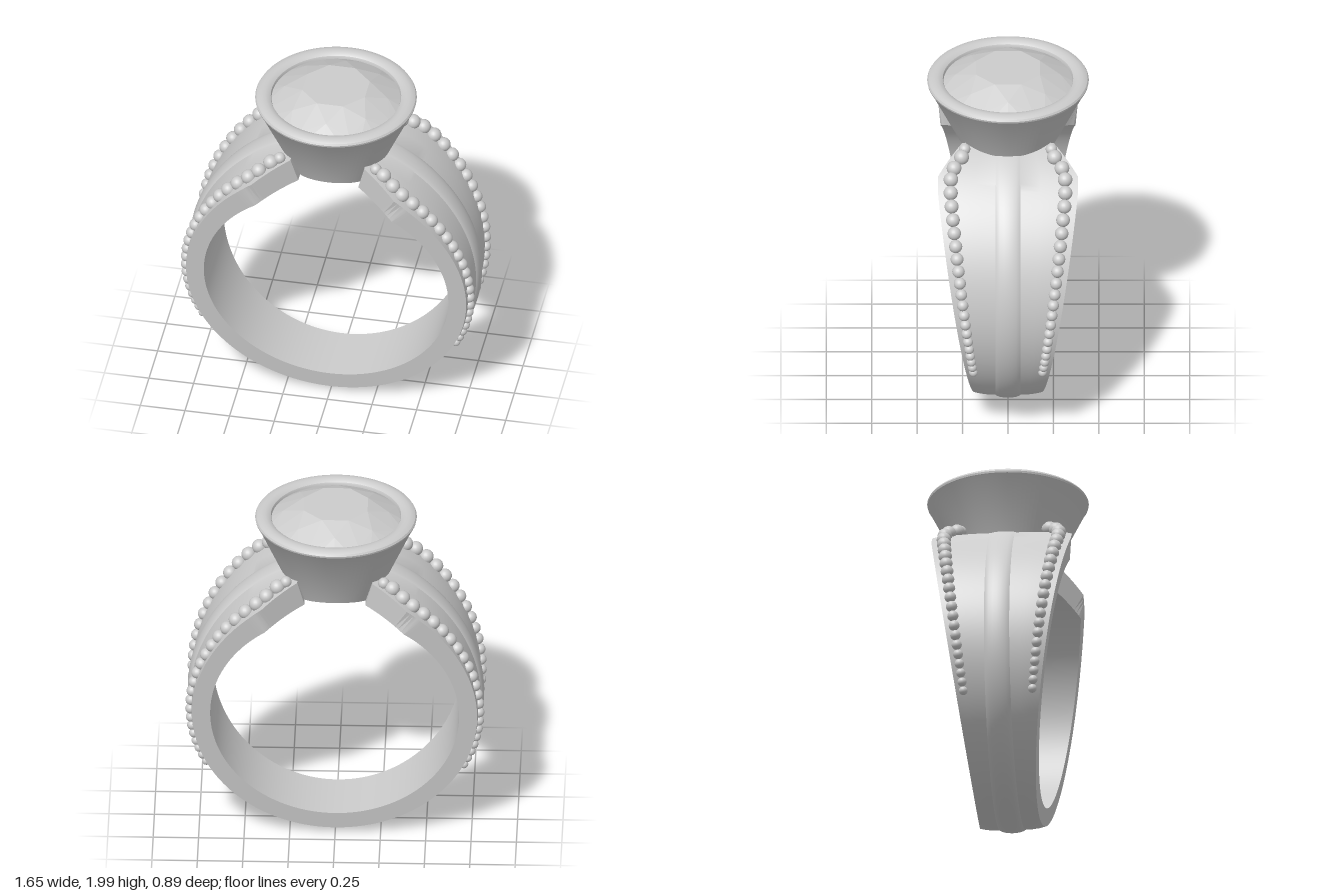
import * as THREE from 'three';
import { toCreasedNormals } from 'three/addons/utils/BufferGeometryUtils.js';
import { ConvexGeometry } from 'three/addons/geometries/ConvexGeometry.js';

const CY = 0.825;        // height of the finger hole's centre
const R_IN = 0.685;      // finger hole radius
const metal = new THREE.MeshStandardMaterial({ color: 0xcccccc });

const rise = a => Math.max(0, Math.sin(a)) ** 4;
// Radius of the band's outer edge: thicker toward the setting
const edgeRadius = a => 0.785 + 0.065 * rise(a);

// Half width of the band: widens with height, then tapers in to the setting
function halfWidth(x, y) {
  const w = Math.min(0.385, 0.163 + 0.15 * y);
  return y > CY ? Math.min(w, 0.385 - 0.69 * (0.4 - Math.abs(x))) : w;
}

function bandSection(a) {
  const at = (r, z) => new THREE.Vector3(r * Math.cos(a), CY + r * Math.sin(a), z);
  const widthAt = r => halfWidth(r * Math.cos(a), CY + r * Math.sin(a));
  const re = edgeRadius(a), w = widthAt(re), wi = widthAt(R_IN);
  const fade = 1 - 0.7 * rise(a);
  // Outer face from the edge to the raised middle ridge
  const half = [
    [w, 0], [0.07 + (w - 0.07) * 0.7, 0.008], [0.07 + (w - 0.07) * 0.35, 0.013],
    [0.07, 0.014], [0.062, 0.02], [0.045, 0.026], [0.022, 0.03],
  ];
  const outer = [
    ...half.map(([z, h]) => at(re + h * fade, z)),
    at(re + 0.031 * fade, 0),
    ...half.slice().reverse().map(([z, h]) => at(re + h * fade, -z)),
  ];
  return [...outer, at(R_IN, -wi), at(R_IN, wi)];
}

// Open band swept around the finger hole, with flat cut ends
function bandGeometry() {
  const rings = 200;
  const start = THREE.MathUtils.degToRad(104.2), end = THREE.MathUtils.degToRad(435.8);
  const pos = [], index = [];
  let n = 0;
  for (let i = 0; i <= rings; i++) {
    const section = bandSection(start + (end - start) * i / rings);
    n = section.length;
    section.forEach(p => pos.push(p.x, p.y, p.z));
  }
  for (let i = 0; i < rings; i++) {
    for (let j = 0; j < n; j++) {
      const a = i * n + j, c = i * n + (j + 1) % n;
      index.push(a, c, a + n, a + n, c, c + n);
    }
  }
  const last = rings * n;
  for (let j = 0; j < n - 2; j++) {
    index.push(n - 1, j + 1, j);
    index.push(last + n - 1, last + j, last + j + 1);
  }
  const g = new THREE.BufferGeometry();
  g.setAttribute('position', new THREE.Float32BufferAttribute(pos, 3));
  g.setIndex(index);
  return toCreasedNormals(g, 0.45);
}

// Conical cup with rounded rim; its underside follows the finger hole
function bezelGeometry() {
  const pts = [[0.12, 1.6], [0.12, 1.5], [0.16, 1.5], [0.2, 1.5], [0.24, 1.5], [0.438, 1.908]];
  for (let k = 0; k <= 8; k++) {
    const t = -0.35 + k / 8 * (Math.PI + 0.35);
    pts.push([0.4 + 0.045 * Math.cos(t), 1.92 + 0.025 * Math.sin(t)]);
  }
  pts.push([0.355, 1.88], [0.12, 1.6]);
  const g = new THREE.LatheGeometry(pts.map(p => new THREE.Vector2(...p)), 96);
  const p = g.attributes.position;
  for (let i = 0; i < p.count; i++) {
    if (p.getY(i) < 1.55) p.setY(i, CY + Math.sqrt(R_IN ** 2 - p.getX(i) ** 2));
  }
  return toCreasedNormals(g, 0.5);
}

// Round cut stone: table, crown, girdle and pavilion rings
function gemGeometry() {
  const pts = [new THREE.Vector3(0, 1.62, 0)];
  const ring = (count, r, y, turn) => {
    for (let i = 0; i < count; i++) {
      const a = (i + turn) / count * Math.PI * 2;
      pts.push(new THREE.Vector3(r * Math.cos(a), y, r * Math.sin(a)));
    }
  };
  ring(8, 0.19, 2, 0.5);
  ring(8, 0.29, 1.955, 0);
  ring(32, 0.362, 1.91, 0);
  ring(32, 0.362, 1.9, 0);
  ring(8, 0.2, 1.76, 0.5);
  return new ConvexGeometry(pts);
}

// One row of touching beads along an edge, shrinking toward the bottom
function beadRow(side, front) {
  const row = new THREE.Group();
  row.name = 'beadRow';
  const ball = new THREE.SphereGeometry(1, 20, 14);
  let a = THREE.MathUtils.degToRad(71.7);
  for (let i = 0; a > -0.52; i++) {
    const y0 = CY + 0.81 * Math.sin(a);
    const size = i === 0 ? 0.032 : 0.024 + 0.0165 * (y0 - 0.43) / 1.1;
    const r = edgeRadius(a) + 0.009 + 0.015 * rise(a);
    const x = r * Math.cos(a), y = CY + r * Math.sin(a);
    const bead = new THREE.Mesh(ball, metal);
    bead.name = 'bead';
    bead.scale.setScalar(size);
    bead.position.set(side * x, y, front * (halfWidth(x, y) - 1.75 * size));
    row.add(bead);
    // The taper near the setting lengthens the path there
    a -= (x < 0.4 ? 1.65 : 1.93) * size / r;
  }
  return row;
}

export function createModel() {
  const model = new THREE.Group();
  model.name = 'ring';
  const add = (name, geometry, material = metal) => {
    const mesh = new THREE.Mesh(geometry, material);
    mesh.name = name;
    model.add(mesh);
  };
  add('band', bandGeometry());
  add('bezel', bezelGeometry());
  add('gemstone', gemGeometry(), new THREE.MeshStandardMaterial({ color: 0xcccccc, flatShading: true }));
  for (const side of [-1, 1]) for (const front of [-1, 1]) model.add(beadRow(side, front));
  return model;
}
